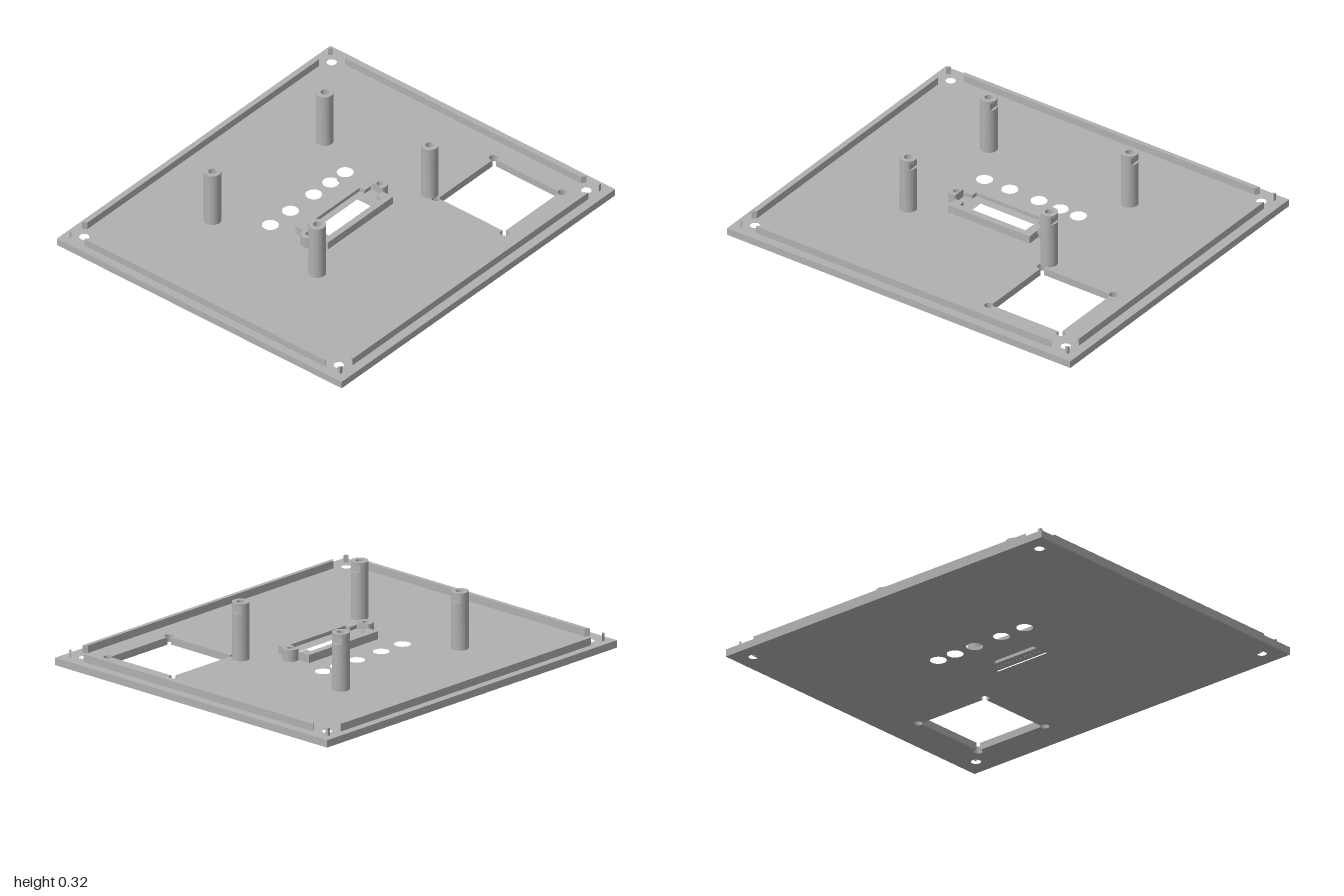
import * as THREE from 'three';
import { toCreasedNormals } from 'three/addons/utils/BufferGeometryUtils.js';

const PLATE = 0.037, RAIL = 0.075;

export function createModel() {
  const model = new THREE.Group();
  model.name = 'mountingPanel';
  const grey = new THREE.MeshStandardMaterial({ color: 0xb0b0b0 });
  grey.name = 'grey plastic';

  // Plan coordinates are (x, z); shapes are drawn with y = -z and raised upwards
  const pts = list => list.map(([x, z]) => new THREE.Vector2(x, -z));
  const rect = (x0, x1, z0, z1) => pts([[x0, z0], [x1, z0], [x1, z1], [x0, z1]]);
  const circle = (x, z, r) => new THREE.Path().absarc(x, -z, r, 0, Math.PI * 2, true);
  const poly = p => new THREE.Path().setFromPoints(p);

  function raise(name, shape, y0, y1, parent = model) {
    let g = new THREE.ExtrudeGeometry(shape, { depth: y1 - y0, bevelEnabled: false, curveSegments: 20 });
    g.rotateX(-Math.PI / 2).translate(0, y0, 0);
    g = toCreasedNormals(g, 0.6);
    const mesh = new THREE.Mesh(g, grey);
    mesh.name = name;
    parent.add(mesh);
    return mesh;
  }

  // Base plate with its openings
  const plate = new THREE.Shape(rect(-1, 1, -0.88, 0.88));
  for (const x of [-0.906, 0.904])
    for (const z of [-0.79, 0.783]) plate.holes.push(circle(x, z, 0.024));
  for (const x of [-0.267, -0.12, 0.05, 0.174, 0.28]) plate.holes.push(circle(x, -0.18, 0.04));
  plate.holes.push(poly(rect(-0.157, 0.153, 0.003, 0.102)));

  // Square opening with round relief at each corner
  const relief = [], r = 0.022, d = 0.008;
  const reach = Math.PI * 0.75 + Math.asin(d / r);
  const spread = 2 * Math.PI - (Math.PI * 0.75 + Math.PI / 2 - Math.asin(d / r)) < reach
    ? Math.PI * 0.75 + Math.asin(d / r) : reach;
  [[1, 1], [-1, 1], [-1, -1], [1, -1]].forEach(([sx, sy], i) => {
    const cx = 0.61 + sx * (0.203 + d), cy = -0.493 + sy * (0.204 + d);
    const mid = Math.PI / 4 + i * Math.PI / 2;
    for (let k = 0; k <= 20; k++) {
      const a = mid - spread + (2 * spread * k) / 20;
      relief.push(new THREE.Vector2(cx + r * Math.cos(a), cy + r * Math.sin(a)));
    }
  });
  plate.holes.push(poly(relief));
  raise('basePlate', plate, 0, PLATE);

  // Locating rails with slanted ends
  for (const [name, zo, zi] of [['backRail', -0.84, -0.818], ['frontRail', 0.834, 0.813]])
    raise(name, new THREE.Shape(pts([[-0.865, zo], [0.86, zo], [0.845, zi], [-0.848, zi]])), PLATE, RAIL);
  for (const [name, xo, xi] of [['rightRail', -0.957, -0.936], ['leftRail', 0.952, 0.931]])
    raise(name, new THREE.Shape(pts([[xo, -0.746], [xo, 0.742], [xi, 0.727], [xi, -0.731]])), PLATE, RAIL);

  // Small corner pins
  for (const [x, sx] of [[-0.957, 1], [0.952, -1]])
    for (const [z, sz] of [[-0.84, 1], [0.834, -1]])
      raise('cornerPin', new THREE.Shape(pts([[x, z], [x + sx * 0.016, z], [x, z + sz * 0.016]])), PLATE, RAIL);

  // Round tube section, optionally cut flat on the +x or -x side
  function ring(x, z, ro, ri, cut = ro, side = 1) {
    const a = cut < ro ? Math.acos(cut / ro) : 0;
    const turn = side > 0 ? 0 : Math.PI;
    const s = new THREE.Shape();
    s.absarc(x, -z, ro, turn + a, turn + Math.PI * 2 - a, false);
    s.closePath();
    s.holes.push(circle(x, z, ri));
    return s;
  }

  // Tall posts, each with a notch near the top
  for (const x of [-0.412, 0.409])
    for (const z of [-0.415, 0.233]) {
      const post = new THREE.Group();
      post.name = 'post';
      model.add(post);
      raise('postShaft', ring(x, z, 0.042, 0.02), PLATE, 0.273, post);
      raise('postNotch', ring(x, z, 0.042, 0.02, 0.029), 0.273, 0.31, post);
      raise('postTop', ring(x, z, 0.042, 0.02), 0.31, 0.322, post);
    }

  // Raised frame around the slot; its end walls dip beside the bosses
  const top = 0.077, dip = 0.058;
  const base = new THREE.Shape(rect(-0.24, 0.236, -0.048, 0.153));
  base.holes.push(poly(rect(-0.194, 0.188, -0.013, 0.12)));
  raise('slotFrameBase', base, PLATE, dip);
  const half = (zo, zi, zg) => new THREE.Shape(pts([
    [-0.24, zo], [0.236, zo], [0.236, zg], [0.188, zg], [0.188, zi], [-0.194, zi], [-0.194, zg], [-0.24, zg]]));
  raise('slotFrameBack', half(-0.048, -0.013, 0.018), dip, top);
  raise('slotFrameFront', half(0.153, 0.12, 0.09), dip, top);

  // Screw bosses at both ends of the frame
  raise('rightBoss', ring(-0.262, 0.053, 0.038, 0.016, 0.018, 1), PLATE, 0.095);
  raise('leftBoss', ring(0.257, 0.053, 0.038, 0.016, 0.018, -1), PLATE, 0.095);

  return model;
}
